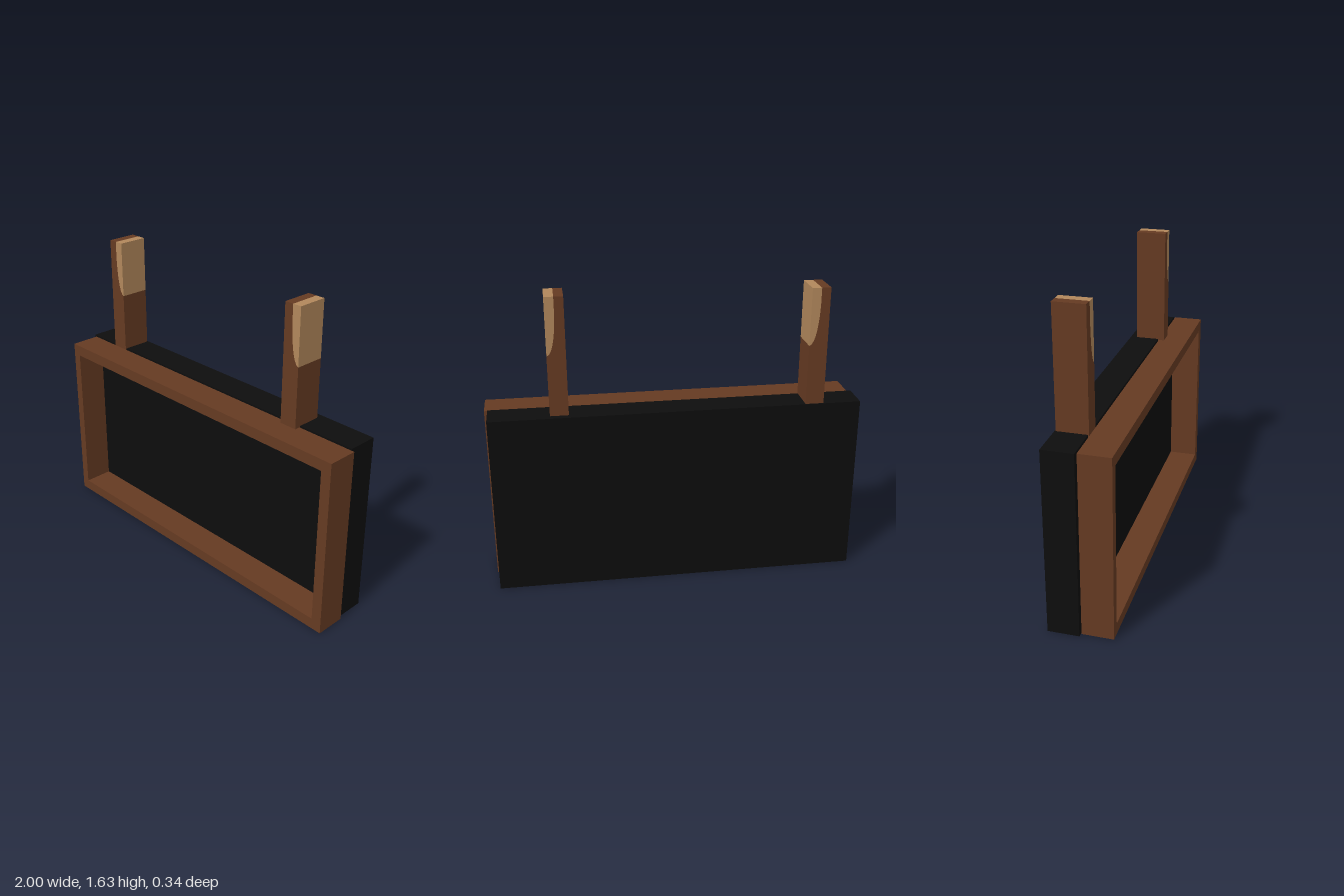
import * as THREE from 'three';

const wood = new THREE.MeshStandardMaterial({ name: 'brown wood', color: 0x653a22 });
const tan = new THREE.MeshStandardMaterial({ name: 'light wood', color: 0xb1875b });
const black = new THREE.MeshStandardMaterial({ name: 'black board', color: 0x0d0d0d });

// Flat outline extruded from z0 to z1
function slab(name, shape, z0, z1, material) {
  const geometry = new THREE.ExtrudeGeometry(shape, { depth: z1 - z0, bevelEnabled: false, curveSegments: 8 });
  const mesh = new THREE.Mesh(geometry, material);
  mesh.name = name;
  mesh.position.z = z0;
  return mesh;
}

function rect(path, x0, y0, x1, y1) {
  return path.moveTo(x0, y0).lineTo(x1, y0).lineTo(x1, y1).lineTo(x0, y1).closePath();
}

// Hanging post: brown, with a light wood inlay whose edge curves down to the +x side
function post(name, x, z0, z1) {
  const width = 0.098, bottom = 0.97, top = 1.63, split = 0.049, inlayBottom = 1.322;
  const inlayEdge = (shape) => shape
    .lineTo(split, 1.54)
    .bezierCurveTo(split + 0.002, 1.46, 0.062, 1.33, width, inlayBottom);

  const brown = new THREE.Shape().moveTo(0, bottom);
  brown.lineTo(0, top).lineTo(split, top);
  inlayEdge(brown).lineTo(width, bottom).closePath();

  const light = new THREE.Shape().moveTo(split, top);
  inlayEdge(light).lineTo(width, top).closePath();

  const group = new THREE.Group();
  group.name = name;
  group.position.x = x;
  group.add(slab('postBody', brown, z0, z1, wood), slab('postInlay', light, z0, z1, tan));
  return group;
}

export function createModel() {
  const model = new THREE.Group();
  model.name = 'hangingSign';

  // Open wooden frame in front
  const frame = rect(new THREE.Shape(), -0.982, 0.002, 1, 0.991);
  frame.holes.push(rect(new THREE.Path(), -0.934, 0.062, 0.942, 0.93));
  model.add(slab('frame', frame, 0.002, 0.168, wood));

  // Solid board behind, offset slightly sideways
  const board = rect(new THREE.Shape(), -1, 0, 0.982, 0.997);
  model.add(slab('backBoard', board, -0.168, -0.003, black));

  // Two posts on top
  model.add(post('rightPost', -0.797, -0.162, 0.002));
  model.add(post('leftPost', 0.56, -0.132, 0.033));

  return model;
}
